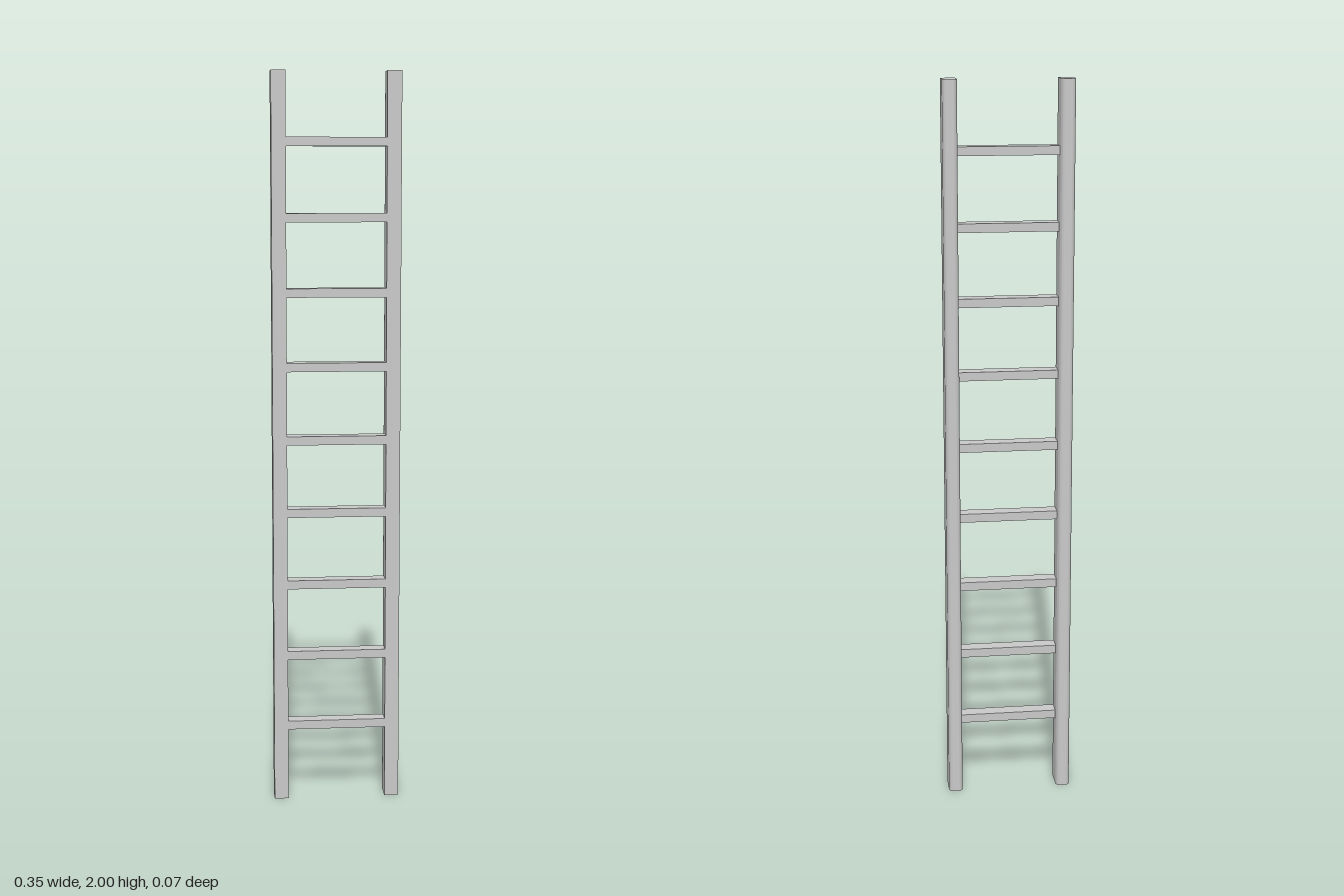
import * as THREE from 'three';
import { toCreasedNormals } from 'three/addons/utils/BufferGeometryUtils.js';

const HEIGHT = 2, OUTER = 0.174, INNER = 0.135, HALF_DEPTH = 0.0335, ROUND = 0.014;
const RUNGS = 9, RUNG_HEIGHT = 0.024, RUNG_BACK = -0.007, FIRST_RUNG = 0.2125, RUNG_STEP = 0.2003;

// Upright section: square at the front, rounded at the two back corners
function railGeometry() {
  const w = (OUTER - INNER) / 2, d = HALF_DEPTH, r = ROUND;
  const section = new THREE.Shape();
  section.moveTo(-w, -d);
  section.lineTo(w, -d);
  section.lineTo(w, d - r);
  section.absarc(w - r, d - r, r, 0, Math.PI / 2, false);
  section.lineTo(-w + r, d);
  section.absarc(-w + r, d - r, r, Math.PI / 2, Math.PI, false);
  section.closePath();
  const geometry = new THREE.ExtrudeGeometry(section, { depth: HEIGHT, bevelEnabled: false, curveSegments: 8 });
  geometry.rotateX(-Math.PI / 2); // section +y becomes -z, extrusion runs up
  return toCreasedNormals(geometry, Math.PI / 6);
}

export function createModel() {
  const ladder = new THREE.Group();
  ladder.name = 'ladder';
  const grey = new THREE.MeshStandardMaterial({ color: 0xc8c8c8 });
  grey.name = 'lightGrey';

  // Two uprights
  const rail = railGeometry();
  for (const side of [-1, 1]) {
    const mesh = new THREE.Mesh(rail, grey);
    mesh.name = side > 0 ? 'leftRail' : 'rightRail';
    mesh.position.x = side * (OUTER + INNER) / 2;
    ladder.add(mesh);
  }

  // Evenly spaced rungs, flush with the front of the uprights
  const rung = new THREE.BoxGeometry(INNER * 2, RUNG_HEIGHT, HALF_DEPTH - RUNG_BACK);
  for (let i = 0; i < RUNGS; i++) {
    const mesh = new THREE.Mesh(rung, grey);
    mesh.name = `rung${i + 1}`;
    mesh.position.set(0, FIRST_RUNG + i * RUNG_STEP, (HALF_DEPTH + RUNG_BACK) / 2);
    ladder.add(mesh);
  }
  return ladder;
}
